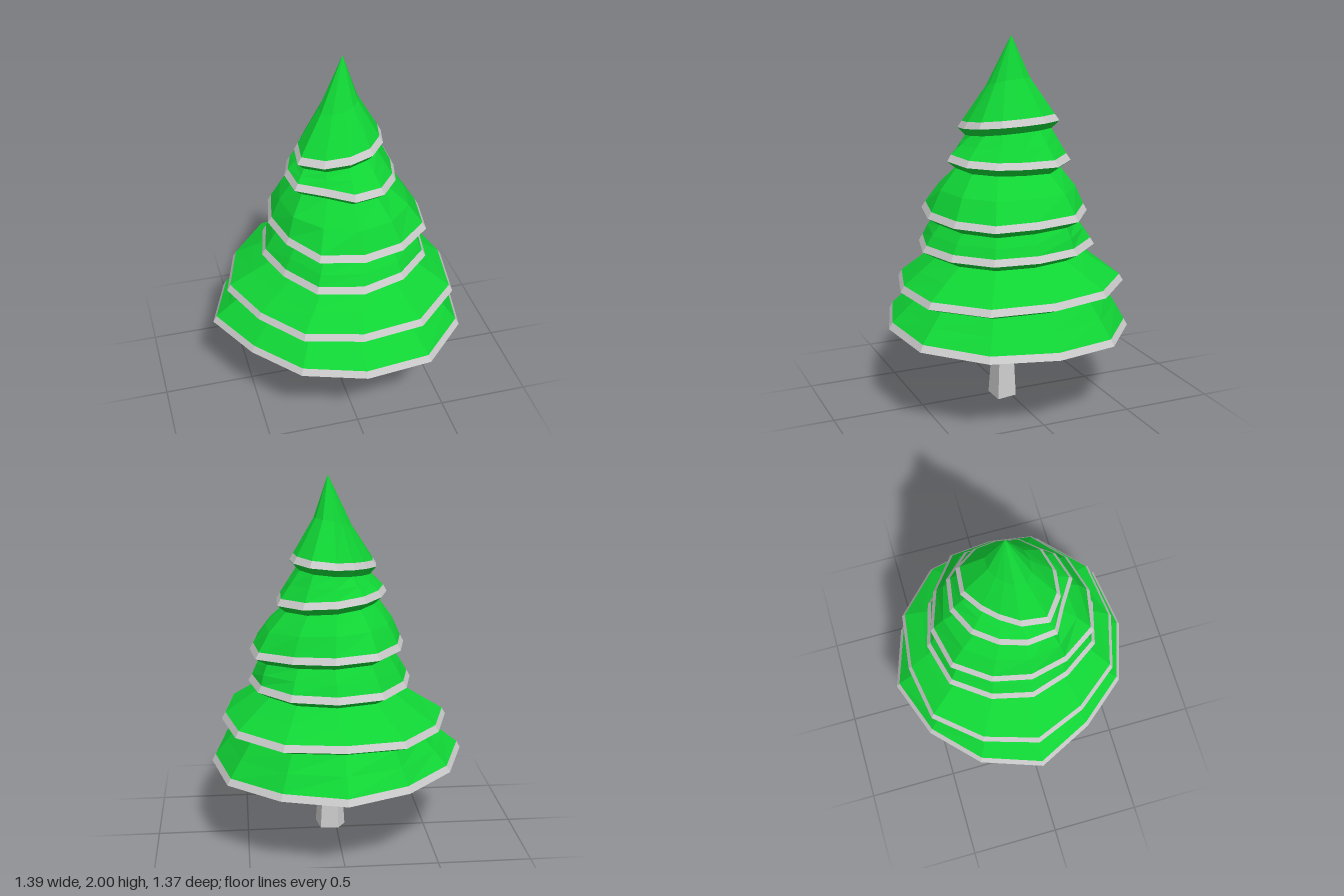
import * as THREE from 'three';

const SIDES = 12;
const green = new THREE.MeshStandardMaterial({ color: 0x10d435, flatShading: true });
const grey = new THREE.MeshStandardMaterial({ color: 0xcccccc, flatShading: true });

// Tiers from bottom to top: centre, rim height, tilt along x and z,
// bulge of the slope above, and rim radii every 30 degrees from +x towards +z.
const tiers = [
  { x: 0, z: 0, y: 0.462, tx: -0.02, tz: 0.03, bulge: 1,
    r: [0.69, 0.72, 0.73, 0.68, 0.66, 0.63, 0.7, 0.67, 0.66, 0.69, 0.67, 0.7] },
  { x: 0, z: 0, y: 0.685, tx: 0.01, tz: -0.01, bulge: 1,
    r: [0.63, 0.67, 0.66, 0.61, 0.605, 0.57, 0.61, 0.6, 0.626, 0.595, 0.64, 0.645] },
  { x: 0.03, z: 0.02, y: 0.9, tx: 0, tz: -0.01, bulge: 1.01,
    r: [0.45, 0.474, 0.466, 0.473, 0.475, 0.43, 0.44, 0.448, 0.487, 0.485, 0.483, 0.466] },
  { x: 0.04, z: 0.02, y: 1.09, tx: -0.03, tz: -0.03, bulge: 1.05,
    r: [0.43, 0.46, 0.444, 0.445, 0.46, 0.415, 0.41, 0.422, 0.46, 0.45, 0.436, 0.466] },
  { x: 0.02, z: 0.02, y: 1.37, tx: -0.05, tz: 0, bulge: 1,
    r: [0.3, 0.305, 0.325, 0.325, 0.275, 0.32, 0.295, 0.287, 0.305, 0.335, 0.355, 0.35] },
  { x: 0.02, z: 0, y: 1.545, tx: 0.1, tz: -0.04, bulge: 1,
    r: [0.23, 0.238, 0.248, 0.25, 0.27, 0.29, 0.235, 0.2, 0.205, 0.25, 0.275, 0.247] },
];

// Ring of a tier, scaled about its centre and shifted in height
function tierRing(t, scale, dy) {
  return t.r.map((r, i) => {
    const a = (i / SIDES) * Math.PI * 2;
    const x = Math.cos(a) * r, z = Math.sin(a) * r;
    return new THREE.Vector3(t.x + x * scale, t.y + t.tx * x + t.tz * z + dy, t.z + z * scale);
  });
}

// A ring collapsed to one point, used to close an end
const pointRing = (x, y, z, n = SIDES) => Array.from({ length: n }, () => new THREE.Vector3(x, y, z));

// Ring halfway between two rings, pushed outwards
function middleRing(lower, upper, bulge) {
  return lower.map((p, i) => p.clone().lerp(upper[i], 0.5).multiply(new THREE.Vector3(bulge, 1, bulge)));
}

// Skin a stack of rings, lowest first along the surface, faces outwards
function loft(name, rings, material) {
  const points = [];
  const tri = (a, b, c) => {
    if (new THREE.Triangle(a, b, c).getArea() > 1e-8) points.push(a, b, c);
  };
  for (let k = 0; k < rings.length - 1; k++) {
    const low = rings[k], high = rings[k + 1], n = low.length;
    for (let i = 0; i < n; i++) {
      const j = (i + 1) % n;
      tri(low[i], high[i], low[j]);
      tri(high[i], high[j], low[j]);
    }
  }
  const geometry = new THREE.BufferGeometry().setFromPoints(points);
  geometry.computeVertexNormals();
  const mesh = new THREE.Mesh(geometry, material);
  mesh.name = name;
  return mesh;
}

export function createModel() {
  const tree = new THREE.Group();
  tree.name = 'pineTree';

  // Tapered five-sided trunk
  const foot = [[0.11, 0.095], [-0.02, 0.1], [-0.05, 0.035], [-0.01, -0.025], [0.09, -0.02]];
  const trunkRing = (s, y) =>
    foot.map(([x, z]) => new THREE.Vector3(0.027 + (x - 0.027) * s, y, 0.02 + (z - 0.02) * s));
  tree.add(loft('trunk', [pointRing(0.03, 0, 0.035, 5), trunkRing(1, 0.005), trunkRing(0.62, 0.47)], grey));

  // Flat underside of the foliage
  tree.add(loft('underside', [pointRing(0.02, 0.44, 0.02), tierRing(tiers[0], 1, -0.015)], green));

  tiers.forEach((t, k) => {
    const tier = new THREE.Group();
    tier.name = `branchTier${k + 1}`;
    const rim = tierRing(t, 1, -0.015);
    const edge = tierRing(t, 1 - 0.02 / t.r[0], 0.02);

    // Overhanging lip below the rim
    if (k > 0) tier.add(loft('lip', [tierRing(t, 0.85, -0.055), rim], green));

    // Pale band around the rim
    tier.add(loft('rimBand', [rim, edge], grey));

    // Slope up to the next lip, or to the pointed peak
    const next = tiers[k + 1];
    if (next) {
      const top = tierRing(next, 0.85, -0.055);
      tier.add(loft('slope', [edge, middleRing(edge, top, t.bulge), top], green));
    } else {
      tier.add(loft('peak', [edge, tierRing(t, 0.43, 0.21), pointRing(0.045, 2, -0.01)], green));
    }
    tree.add(tier);
  });

  return tree;
}
